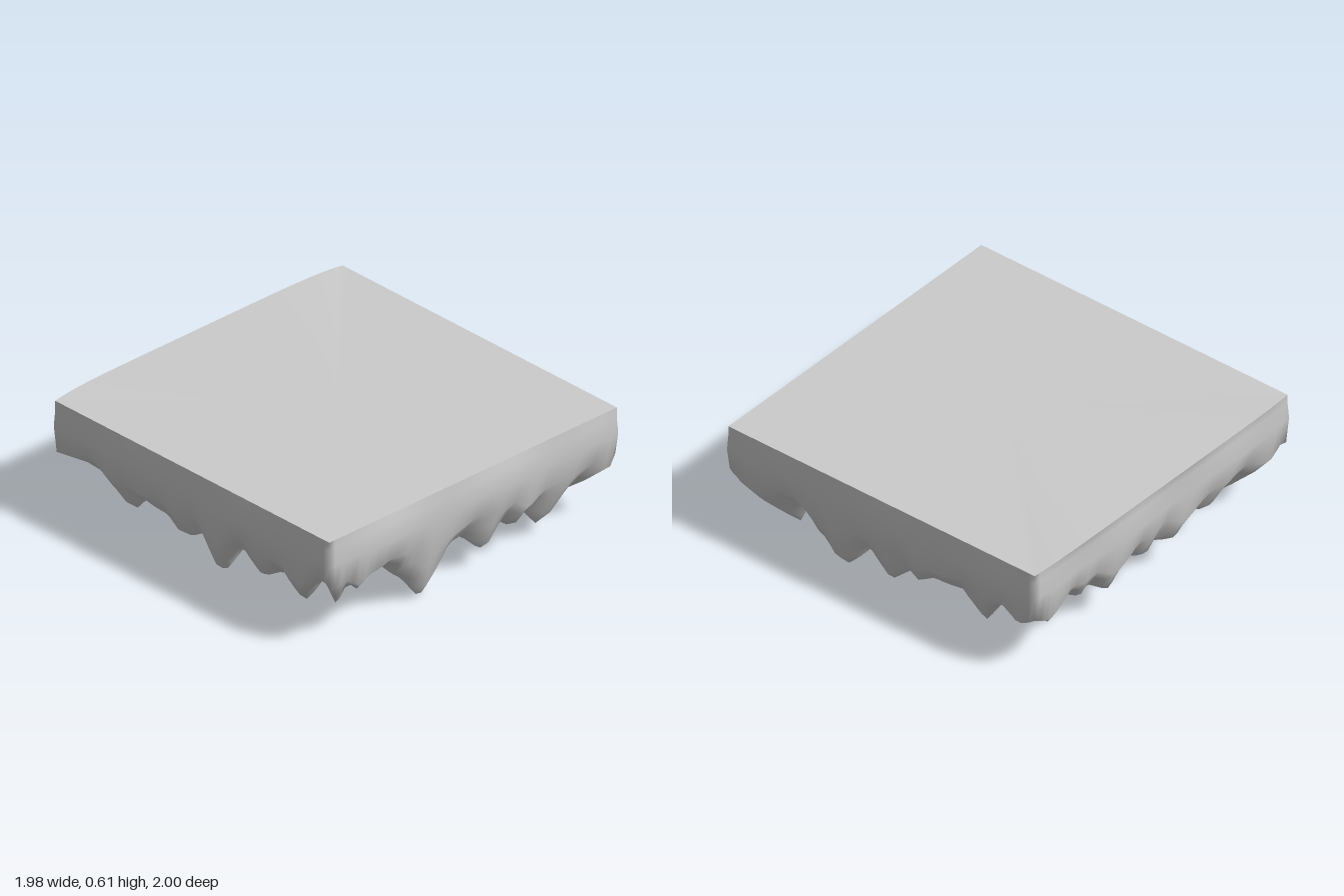
import * as THREE from 'three';

const PER_SIDE = 48;
const CEILING = 0.605;
const lerp = THREE.MathUtils.lerp;

// Hanging points per side: [position along side, tip height, half width].
// Sides run front, left (+x), back, right (-x), counter-clockwise from above.
const TIPS = [
  [[-0.95, 0.08, 0.12], [-0.8, 0.16, 0.09], [-0.45, 0.15, 0.13], [-0.31, 0, 0.2], [0.16, 0.11, 0.15], [0.38, 0.17, 0.11], [0.69, 0.06, 0.2], [0.93, 0.13, 0.12]],
  [[-0.9, 0.05, 0.18], [-0.5, 0.17, 0.12], [-0.35, 0.04, 0.21], [0, 0.1, 0.17], [0.2, 0.17, 0.1], [0.66, 0.08, 0.16], [0.9, 0.11, 0.14]],
  [[-0.87, 0.1, 0.17], [-0.6, 0.18, 0.1], [-0.37, 0.13, 0.17], [-0.06, 0.18, 0.11], [0.18, 0.16, 0.13], [0.52, 0.17, 0.14], [0.87, 0.11, 0.15]],
  [[-0.64, 0.14, 0.13], [-0.15, 0.17, 0.12], [0.14, 0.07, 0.15], [0.47, 0.16, 0.14], [0.78, 0.09, 0.16]],
];

// Rotates a front-side point (u along, v outward) to the given side
function onSide(side, u, v) {
  return [[u, v], [v, -u], [-u, -v], [-v, u]][side];
}

// Height of the ragged hem and how strongly it is pulled into a tip
function hem(side, u) {
  const notch = 0.235 + 0.015 * Math.sin(u * 7 + side * 2);
  let y = notch, peak = 0;
  for (let s = 0; s < 4; s++) {
    for (const [c, h, w] of TIPS[s]) {
      let d = Math.abs(u - c);
      if (s === (side + 1) % 4) d = 2 + c - u;
      else if (s === (side + 3) % 4) d = u + 2 - c;
      else if (s !== side) continue;
      const k = Math.max(0, 1 - d / w);
      if (k > 0) {
        y = Math.min(y, lerp(notch, h, Math.pow(k, 0.9)));
        peak = Math.max(peak, k);
      }
    }
  }
  return { y, peak };
}

// Cross-section at one point of the perimeter, from top edge to inner rim
function section(side, u) {
  const { y, peak } = hem(side, u);
  const corner = 1 - Math.pow(Math.abs(u), 6);
  const bulge = corner * (0.008 + 0.008 * Math.sin(u * 8 + side * 1.7)) + (side % 2 ? 0 : 0.008 * corner);
  const norm4 = Math.pow(1 + u ** 4, 0.25);
  const shoulder = 0.37 + 0.03 * Math.sin(u * 11 + side) - 0.05 * peak;
  const rounded = 0.9 / norm4;
  const inner = 0.925 / norm4;
  const ring = (r, h) => {
    const [x, z] = onSide(side, u * r, r);
    return [x, h, z];
  };
  // The back edge stands slightly proud
  const rise = side === 2 ? 0.01 * corner : 0;
  return [
    ring(0.97 + rise * 2, 0.62 + rise),
    ring(0.97 + bulge * 0.5, 0.57),
    ring(0.975 + bulge, 0.48),
    ring(0.965 + bulge * 0.5, shoulder),
    ring(lerp(0.965, rounded, 0.5 - 0.15 * peak), lerp(shoulder, y, 0.4)),
    ring(rounded + 0.02 * peak, lerp(shoulder, y, 0.8)),
    ring(rounded - 0.03, y),
    ring(inner - 0.08 - 0.03 * peak, lerp(y, CEILING, 0.25)),
    ring(inner - 0.04, lerp(y, CEILING, 0.65)),
    ring(inner, CEILING),
  ];
}

function buildGeometry(points, index) {
  const g = new THREE.BufferGeometry();
  g.setAttribute('position', new THREE.Float32BufferAttribute(points.flat(), 3));
  g.setIndex(index);
  g.computeVertexNormals();
  return g;
}

// Flat disc joining a closed loop to its centre
function fan(loop, centre, up) {
  const n = loop.length, index = [];
  for (let i = 0; i < n; i++) {
    const j = (i + 1) % n;
    index.push(n, ...(up ? [i, j] : [j, i]));
  }
  return buildGeometry([...loop, centre], index);
}

export function createModel() {
  const group = new THREE.Group();
  const material = new THREE.MeshStandardMaterial({ color: 0xcccccc, side: THREE.DoubleSide });
  const add = (name, geometry) => {
    const mesh = new THREE.Mesh(geometry, material);
    mesh.name = name;
    group.add(mesh);
  };

  const sections = [];
  for (let side = 0; side < 4; side++) {
    for (let i = 0; i < PER_SIDE; i++) sections.push(section(side, -1 + (2 * i) / PER_SIDE));
  }
  const n = sections.length, rows = sections[0].length;

  // Side wall, ragged hanging fringe and its inner face
  const index = [];
  for (let i = 0; i < n; i++) {
    const j = (i + 1) % n;
    for (let r = 0; r < rows - 1; r++) {
      const a = i * rows + r, b = j * rows + r;
      index.push(a, a + 1, b, b, a + 1, b + 1);
    }
  }
  add('hangingFringe', buildGeometry(sections.flat(), index));

  // Top surface and the ceiling of the hollow underneath
  add('topSurface', fan(sections.map((s) => s[0]), [0, 0.622, 0], true));
  add('underside', fan(sections.map((s) => s[rows - 1]), [0, CEILING, 0], false));
  return group;
}
